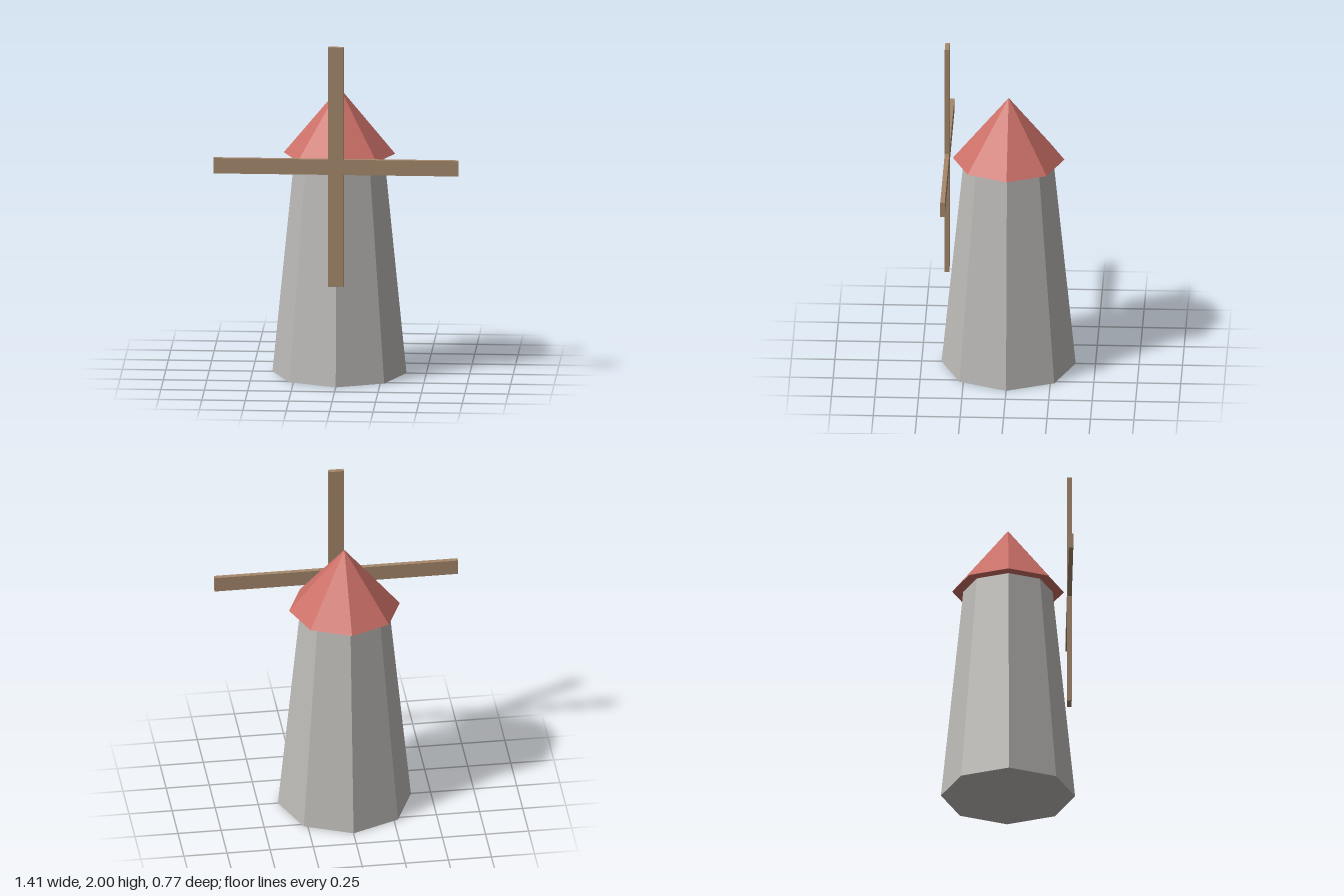
import * as THREE from 'three';

const material = (name, color) => {
  const m = new THREE.MeshStandardMaterial({ color, flatShading: true });
  m.name = name;
  return m;
};

export function createModel() {
  const stone = material('stone grey', 0xbcbab7);
  const red = material('roof red', 0xcb6f67);
  const wood = material('sail wood', 0xa5886c);

  const group = new THREE.Group();
  group.name = 'windmill';
  const add = (name, geometry, mat, y, z = 0) => {
    const mesh = new THREE.Mesh(geometry, mat);
    mesh.name = name;
    mesh.position.set(0, y, z);
    group.add(mesh);
  };

  const eaves = 1.294; // top of the tower and height of the sail hub

  // Tapered eight-sided tower
  add('tower', new THREE.CylinderGeometry(0.257, 0.386, eaves, 8), stone, eaves / 2);

  // Overhanging eight-sided roof
  const roofHeight = 0.386;
  add('roof', new THREE.ConeGeometry(0.321, roofHeight, 8), red, eaves + roofHeight / 2);

  // Sails: one flat cross, outlined arm by arm
  const reach = 0.706, half = 0.045, depth = 0.026;
  const outline = [];
  for (let i = 0; i < 4; i++) {
    const centre = new THREE.Vector2();
    for (const [x, y] of [[reach, -half], [reach, half], [half, half]]) {
      outline.push(new THREE.Vector2(x, y).rotateAround(centre, (i * Math.PI) / 2));
    }
  }
  const cross = new THREE.ExtrudeGeometry(new THREE.Shape(outline), { depth, bevelEnabled: false });
  add('sails', cross, wood, eaves, 0.34);

  return group;
}
